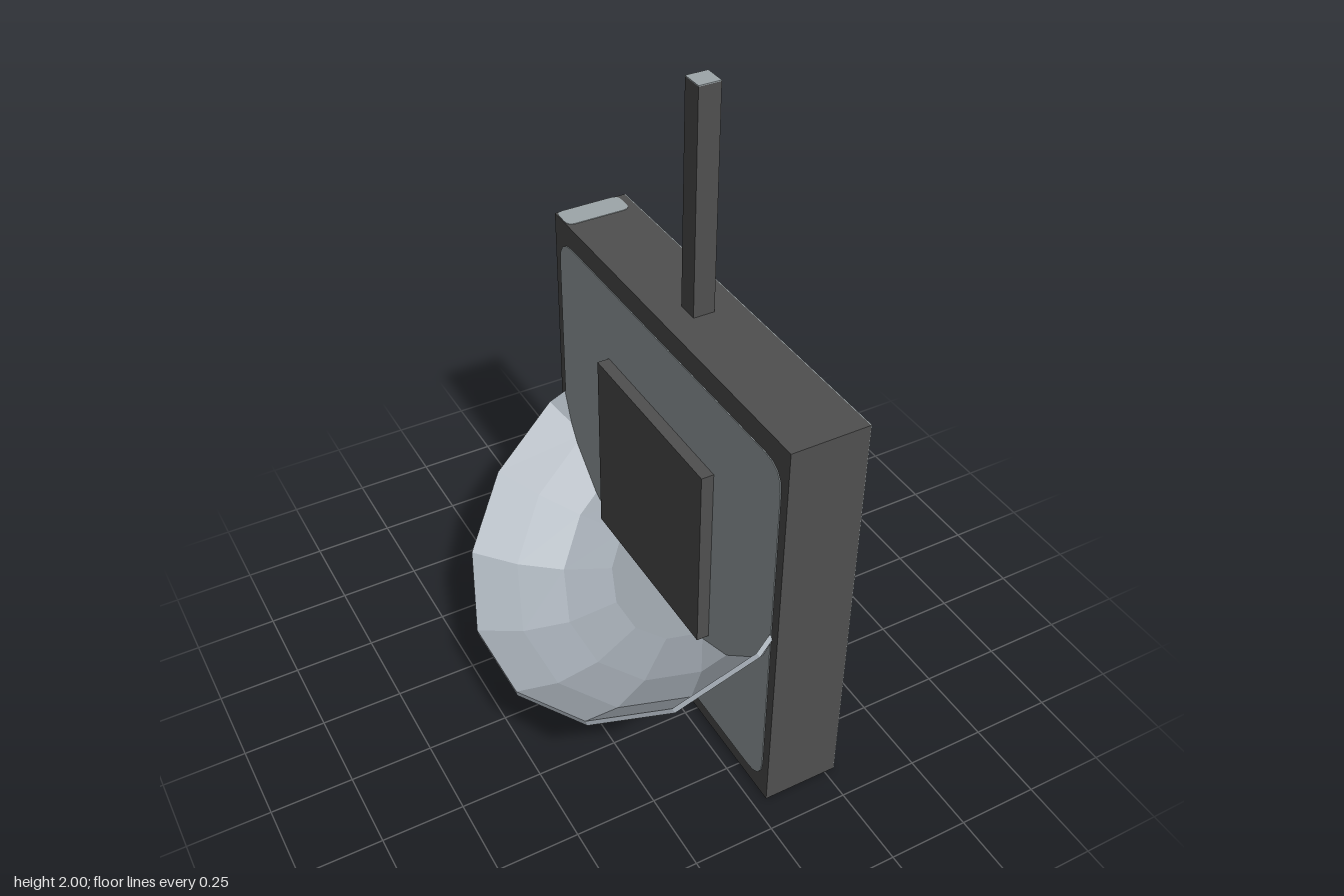
import * as THREE from 'three';

const dark = new THREE.MeshStandardMaterial({ name: 'charcoal', color: 0x4f4f4f });
const light = new THREE.MeshStandardMaterial({ name: 'blueGrey', color: 0x9da6a9 });
const pale = new THREE.MeshStandardMaterial({ name: 'paleBlueGrey', color: 0xa3abb3 });

export function createModel() {
  const group = new THREE.Group();

  const add = (name, geometry, material) => {
    const mesh = new THREE.Mesh(geometry, material);
    mesh.name = name;
    group.add(mesh);
    return mesh;
  };

  // Box given by its minimum and maximum corners
  const box = (name, material, [x0, y0, z0], [x1, y1, z1]) => {
    const mesh = add(name, new THREE.BoxGeometry(x1 - x0, y1 - y0, z1 - z0), material);
    mesh.position.set((x0 + x1) / 2, (y0 + y1) / 2, (z0 + z1) / 2);
    return mesh;
  };

  // Thin plate with rounded corners, in the xy plane
  const roundedPlate = (w, h, r, depth) => {
    const s = new THREE.Shape();
    const a = w / 2, b = h / 2;
    s.moveTo(-a + r, -b);
    s.lineTo(a - r, -b).quadraticCurveTo(a, -b, a, -b + r);
    s.lineTo(a, b - r).quadraticCurveTo(a, b, a - r, b);
    s.lineTo(-a + r, b).quadraticCurveTo(-a, b, -a, b - r);
    s.lineTo(-a, -b + r).quadraticCurveTo(-a, -b, -a + r, -b);
    return new THREE.ExtrudeGeometry(s, { depth, bevelEnabled: false, curveSegments: 4 })
      .translate(0, 0, -depth / 2);
  };

  // Upright slab with a light face on each broad side
  box('slab', dark, [0.043, 0.002, -0.653], [0.28, 1.31, 0.653]);
  box('slabOuterFace', light, [0.279, 0.002, -0.652], [0.283, 1.31, 0.652]);
  const inner = add('slabInnerFace', roundedPlate(1.245, 1.19, 0.08, 0.004), light);
  inner.rotation.y = -Math.PI / 2;
  inner.position.set(0.0425, 0.645, 0);

  // Light patches at the back end of the slab's top and bottom
  for (const [name, y] of [['topPatch', 1.31], ['bottomPatch', 0.002]]) {
    const patch = add(name, roundedPlate(0.21, 0.085, 0.025, 0.004), light);
    patch.rotation.x = -Math.PI / 2;
    patch.position.set(0.15, y, -0.61);
  }

  // Pole with a light end
  box('pole', dark, [0.128, 1.31, -0.035], [0.195, 1.997, 0.032]);
  box('poleCap', light, [0.128, 1.997, -0.035], [0.195, 2, 0.032]);

  // Raised square panel
  box('panel', dark, [0.002, 0.37, -0.308], [0.044, 0.99, 0.305]);

  // Tilted faceted bowl: outer wall, bevelled lip, inner wall
  const profile = [
    [0, -0.287], [0.287, -0.287], [0.441, -0.235], [0.559, -0.14], [0.645, -0.012],
    [0.637, 0.002], [0.552, -0.128], [0.435, -0.222], [0.284, -0.273], [0, -0.273],
  ].map(([r, y]) => new THREE.Vector2(r, y));
  const bowlGeometry = new THREE.LatheGeometry(profile, 14).toNonIndexed();
  bowlGeometry.computeVertexNormals();
  const bowl = add('bowl', bowlGeometry, pale);
  bowl.rotation.z = THREE.MathUtils.degToRad(36);
  bowl.position.set(-0.008, 0.622, -0.004);

  return group;
}
